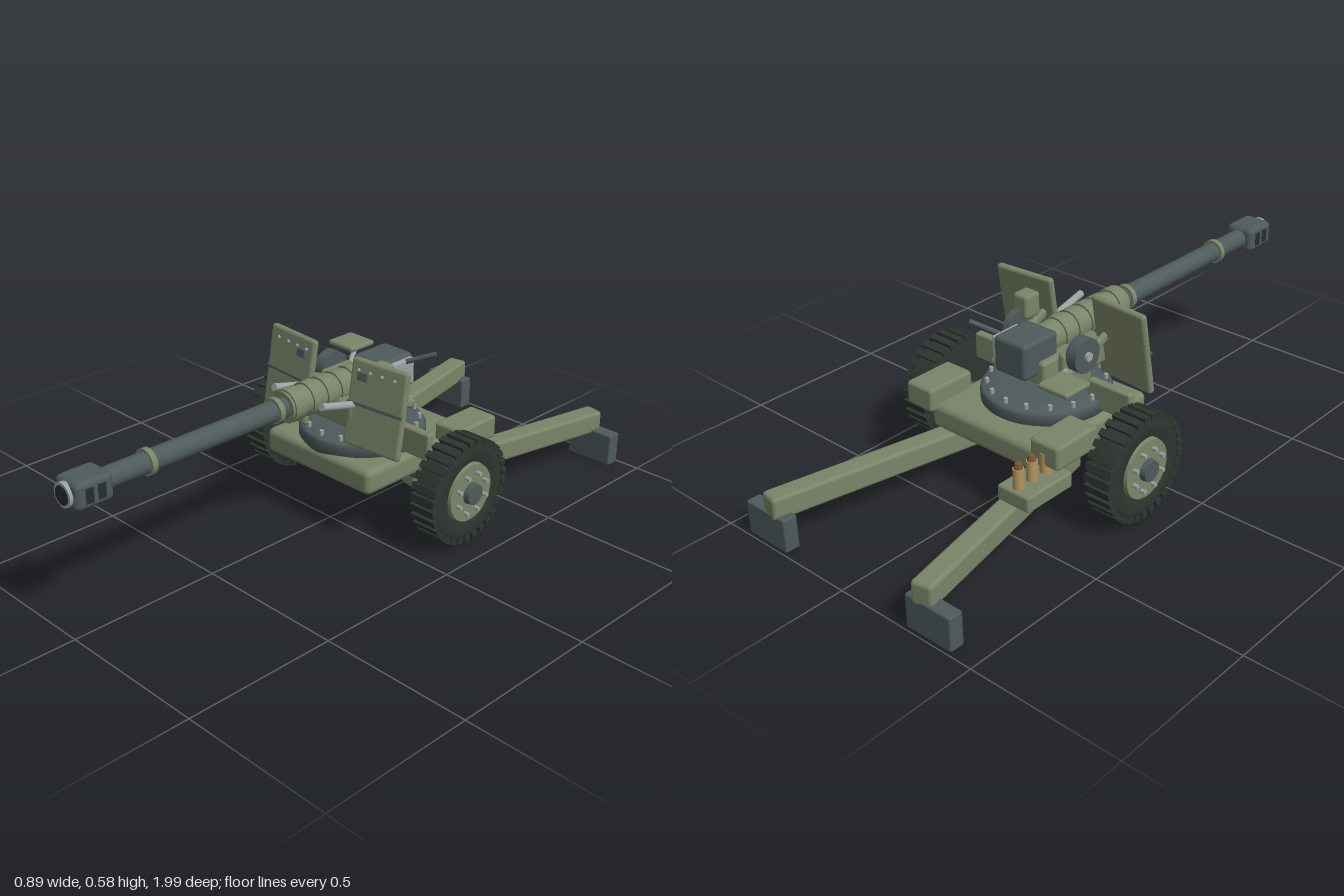
import * as THREE from 'three';
import { RoundedBoxGeometry } from 'three/addons/geometries/RoundedBoxGeometry.js';

function mat(name, color) {
  const m = new THREE.MeshStandardMaterial({ color });
  m.name = name;
  return m;
}

export function createModel() {
  const olive = mat('olive paint', 0x7a8468);
  const gunmetal = mat('gunmetal', 0x4e5a5b);
  const rubber = mat('tyre rubber', 0x2e352f);
  const steel = mat('bright steel', 0x9ba1a2);
  const brass = mat('brass', 0xb3965e);
  const copper = mat('shell tip', 0x7d5238);
  const black = mat('bore black', 0x272d2e);

  const root = new THREE.Group();
  root.name = 'fieldGun';

  function add(name, geo, material, x = 0, y = 0, z = 0, parent = root) {
    const m = new THREE.Mesh(geo, material);
    m.name = name;
    m.position.set(x, y, z);
    parent.add(m);
    return m;
  }
  // Rounded box given by its centre and size
  function box(name, material, [x, y, z], [w, h, d], r = 0.01, parent = root) {
    return add(name, new RoundedBoxGeometry(w, h, d, 2, Math.min(r, Math.min(w, h, d) * 0.45)), material, x, y, z, parent);
  }
  // Cylinder between two points
  function rod(name, material, from, to, r, parent = root, r2 = r, sides = 20) {
    const a = new THREE.Vector3(...from), b = new THREE.Vector3(...to);
    const dir = b.clone().sub(a);
    const m = add(name, new THREE.CylinderGeometry(r2, r, dir.length(), sides), material, 0, 0, 0, parent);
    m.position.copy(a).add(b).multiplyScalar(0.5);
    m.quaternion.setFromUnitVectors(new THREE.Vector3(0, 1, 0), dir.normalize());
    return m;
  }
  // Box beam between two points
  function beam(name, material, from, to, w, h) {
    const a = new THREE.Vector3(...from), b = new THREE.Vector3(...to);
    const c = a.clone().add(b).multiplyScalar(0.5);
    const m = box(name, material, c.toArray(), [w, h, a.distanceTo(b)], 0.012);
    m.lookAt(b);
    return m;
  }

  // Barrel, sleeve and bands
  const by = 0.456;
  rod('barrel', gunmetal, [0, by, 0.1], [0, by, 0.9], 0.034, root, 0.032, 32);
  for (const z of [0.235, 0.715]) rod('barrelBand', olive, [0, by, z - 0.009], [0, by, z + 0.009], 0.041, root, 0.041, 32);
  rod('sleeve', olive, [0, by, -0.17], [0, by, 0.2], 0.048, root, 0.048, 32);
  for (const z of [0.17, 0.095, 0.035, -0.025, -0.085])
    rod('sleeveBand', olive, [0, by, z - 0.022], [0, by, z + 0.022], 0.054, root, 0.054, 32);

  // Muzzle brake
  box('muzzleBrake', gunmetal, [0, by, 0.925], [0.105, 0.085, 0.125], 0.018);
  rod('muzzleRing', steel, [0, by, 0.98], [0, by, 0.998], 0.037, root, 0.037, 32);
  rod('bore', black, [0, by, 0.99], [0, by, 1.0], 0.029, root, 0.029, 32);
  for (const s of [-1, 1]) for (const z of [0.905, 0.945])
    box('brakeSlot', black, [s * 0.0525, by, z], [0.004, 0.046, 0.026], 0.001);

  // Breech with wedge block and lever
  box('breech', gunmetal, [0, 0.448, -0.235], [0.126, 0.118, 0.15], 0.014);
  box('breechBlock', steel, [0.069, 0.452, -0.245], [0.02, 0.09, 0.11], 0.006);
  rod('breechLever', gunmetal, [0.075, 0.49, -0.265], [0.155, 0.525, -0.315], 0.008);

  // Cradle and its cheeks
  box('mantlet', olive, [0, 0.395, -0.02], [0.23, 0.09, 0.08], 0.02);
  box('cradle', olive, [0, 0.395, -0.14], [0.17, 0.08, 0.22], 0.012);
  for (const s of [-1, 1]) {
    box('cradleCheek', olive, [s * 0.11, 0.385, -0.14], [0.03, 0.15, 0.13], 0.012);
    beam('cradleStrut', olive, [s * 0.125, 0.46, 0], [s * 0.125, 0.365, -0.25], 0.022, 0.03);
    rod('recoilRod', steel, [s * 0.105, 0.435, 0], [s * 0.105, 0.47, 0.14], 0.012);
  }

  // Aiming wheel, gunner's seat and sight box
  rod('aimingWheel', gunmetal, [-0.12, 0.445, -0.14], [-0.16, 0.445, -0.14], 0.056, root, 0.056, 32);
  rod('aimingHub', steel, [-0.15, 0.445, -0.14], [-0.17, 0.445, -0.14], 0.014);
  rod('trunnion', gunmetal, [0.12, 0.445, -0.13], [0.145, 0.445, -0.13], 0.056, root, 0.056, 32);
  box('seat', olive, [-0.23, 0.451, -0.325], [0.112, 0.018, 0.108], 0.008);
  rod('seatArm', steel, [-0.21, 0.445, -0.325], [-0.11, 0.4, -0.18], 0.009);
  box('sightBox', olive, [0.13, 0.51, -0.09], [0.06, 0.08, 0.065], 0.012);
  rod('sightPost', gunmetal, [0.13, 0.44, -0.09], [0.13, 0.48, -0.09], 0.014);

  // Split shield, leaning back and swept outwards
  for (const s of [-1, 1]) {
    const g = new THREE.Group();
    g.name = s > 0 ? 'leftShield' : 'rightShield';
    g.position.set(s * 0.19, 0.445, -0.01);
    g.rotation.set(-0.16, s * 0.08, 0, 'YXZ');
    root.add(g);
    box('shieldPlate', olive, [0, 0, 0], [0.215, 0.28, 0.024], 0.011, g);
    box('shieldStrip', gunmetal, [0, 0, 0.013], [0.212, 0.01, 0.008], 0.002, g);
    box('visionPort', gunmetal, [-s * 0.056, 0.088, 0.014], [0.038, 0.027, 0.012], 0.003, g);
    for (const x of [0.115, 0.16, 0.205, 0.253])
      add('shieldRivet', new THREE.SphereGeometry(0.006, 10, 8), steel, s * (x - 0.19), 0.104, 0.012, g);
  }

  // Turntable with bolt ring
  const rim = [[0, 0.25], [0.205, 0.25], [0.205, 0.295], [0.198, 0.305], [0.155, 0.317], [0, 0.317]];
  const ring = new THREE.LatheGeometry(rim.map(([x, y]) => new THREE.Vector2(x, y)), 48);
  add('turntable', ring, gunmetal, 0, 0, -0.145);
  for (let i = 0; i < 16; i++) {
    const a = (i / 16) * Math.PI * 2;
    add('turntableBolt', new THREE.CylinderGeometry(0.007, 0.007, 0.02, 8), steel,
      Math.sin(a) * 0.183, 0.315, -0.145 + Math.cos(a) * 0.183);
  }

  // Chassis, side lockers and axle
  box('chassis', olive, [0, 0.223, -0.178], [0.46, 0.085, 0.485], 0.022);
  rod('axle', gunmetal, [-0.36, 0.182, -0.188], [0.36, 0.182, -0.188], 0.031, root, 0.031, 28);
  for (const s of [-1, 1]) {
    box('sideLocker', olive, [s * 0.255, 0.283, -0.355], [0.108, 0.078, 0.178], 0.012);
    box('sideBracket', olive, [s * 0.235, 0.32, -0.12], [0.165, 0.09, 0.03], 0.008);

    // Trail leg and spade
    beam('trailLeg', olive, [s * 0.15, 0.134, -0.2], [s * 0.315, 0.134, -0.99], 0.07, 0.076);
    box('spade', gunmetal, [s * 0.335, 0.056, -0.966], [0.17, 0.112, 0.05], 0.006);
  }

  // Ammunition tray with three rounds
  box('ammoTray', olive, [-0.25, 0.194, -0.475], [0.12, 0.052, 0.19], 0.008);
  for (const z of [-0.43, -0.487, -0.543]) {
    rod('shellCase', brass, [-0.25, 0.21, z], [-0.25, 0.285, z], 0.017);
    rod('shellTip', copper, [-0.25, 0.285, z], [-0.25, 0.302, z], 0.014, root, 0.01);
  }

  // Wheels: axis along the outward direction
  const tyre = [[0, -0.046], [0.145, -0.046], [0.16, -0.04], [0.163, -0.03], [0.163, 0.03], [0.16, 0.04], [0.145, 0.046], [0.105, 0.046], [0.1, 0.034], [0, 0.034]];
  for (const s of [-1, 1]) {
    const w = new THREE.Group();
    w.name = s > 0 ? 'leftWheel' : 'rightWheel';
    w.position.set(s * 0.378, 0.182, -0.185);
    w.rotation.z = -s * Math.PI / 2;
    root.add(w);
    add('tyre', new THREE.LatheGeometry(tyre.map(([x, y]) => new THREE.Vector2(x, y)), 48), rubber, 0, 0, 0, w);
    for (let i = 0; i < 30; i++) {
      const a = (i / 30) * Math.PI * 2;
      const lug = add('treadLug', new THREE.BoxGeometry(0.02, 0.094, 0.022), rubber,
        Math.cos(a) * 0.163, 0, Math.sin(a) * 0.163, w);
      lug.rotation.y = -a;
    }
    rod('wheelDisc', olive, [0, 0.02, 0], [0, 0.05, 0], 0.1, w, 0.094, 40);
    rod('hub', gunmetal, [0, 0.04, 0], [0, 0.069, 0], 0.037, w, 0.033, 28);
    for (let i = 0; i < 8; i++) {
      const a = ((i + 0.5) / 8) * Math.PI * 2, x = Math.cos(a) * 0.066, z = Math.sin(a) * 0.066;
      rod('wheelNut', steel, [x, 0.045, z], [x, 0.066, z], 0.007, w, 0.007, 8);
    }
  }
  return root;
}
